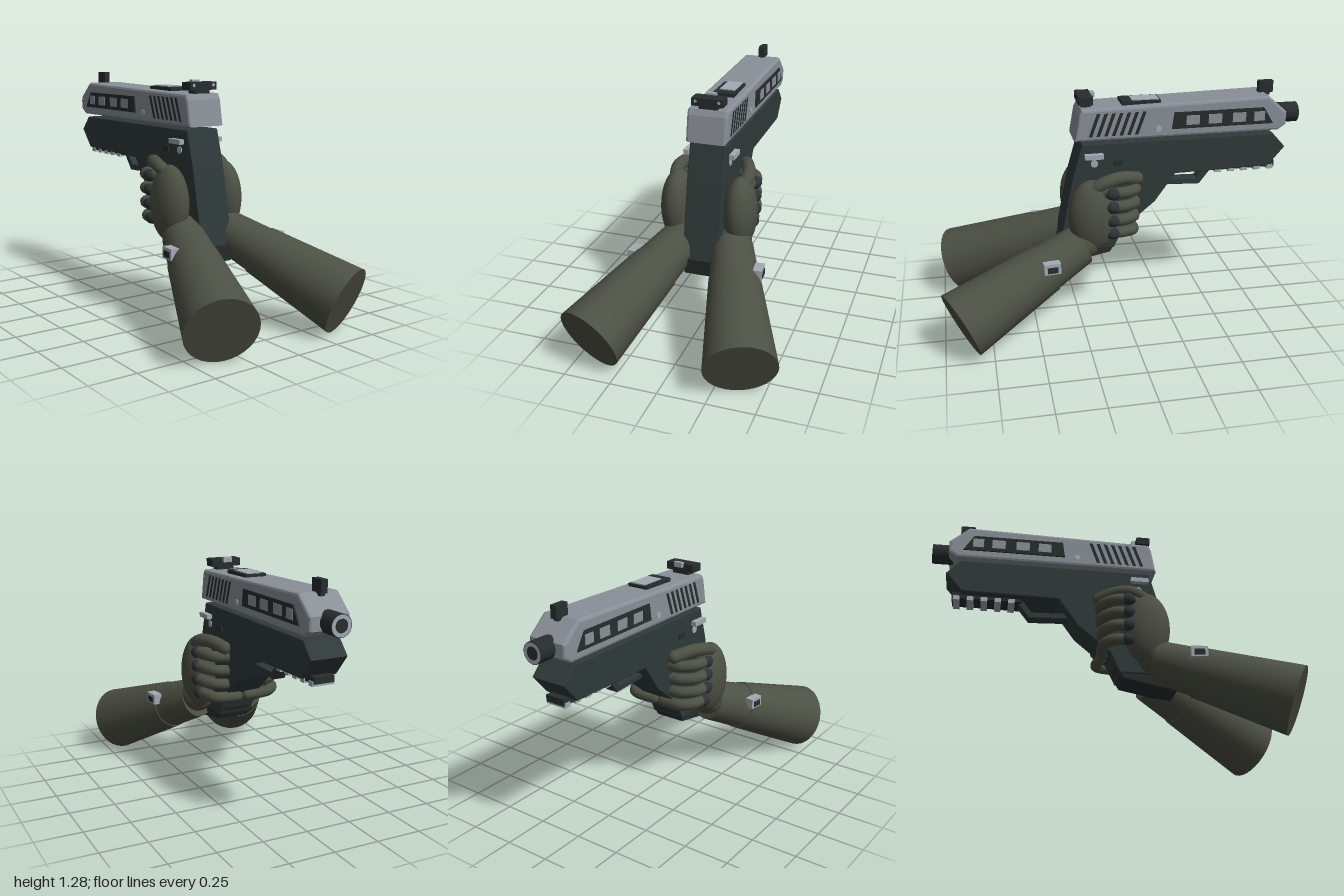
import * as THREE from 'three';

const mat = (name, color, side = THREE.FrontSide) => {
  const m = new THREE.MeshStandardMaterial({ color, side });
  m.name = name;
  return m;
};

export function createModel() {
  const root = new THREE.Group();
  root.name = 'pistolWithGlovedArms';
  const steel = mat('slide grey', 0x8a9098);
  const frameMat = mat('frame dark green grey', 0x2f3939);
  const black = mat('dark fittings', 0x272d2e);
  const light = mat('light metal', 0xa3aab3);
  const sleeve = mat('olive cloth', 0x4d5044);
  const pad = mat('knuckle pad', 0x2d3335);

  const add = (name, geo, material, x = 0, y = 0, z = 0, parent = root) => {
    const m = new THREE.Mesh(geo, material);
    m.name = name;
    m.position.set(x, y, z);
    parent.add(m);
    return m;
  };
  const box = (name, material, w, h, d, x, y, z) =>
    add(name, new THREE.BoxGeometry(w, h, d), material, x, y, z);

  // Side profile given as [z, y], extruded across x and centred on x
  const profile = (name, pts, width, bevel, material, x = 0) => {
    const shape = new THREE.Shape(pts.map(([z, y]) => new THREE.Vector2(-z, y)));
    const geo = new THREE.ExtrudeGeometry(shape, {
      depth: width - 2 * bevel, bevelEnabled: bevel > 0, bevelSize: bevel,
      bevelThickness: bevel, bevelOffset: -bevel, bevelSegments: 2,
    });
    geo.translate(0, 0, -(width - 2 * bevel) / 2);
    geo.rotateY(Math.PI / 2);
    return add(name, geo, material, x);
  };

  // Tapered limb between two points
  const limb = (name, a, b, ra, rb, material) => {
    const dir = b.clone().sub(a);
    const m = add(name, new THREE.CylinderGeometry(rb, ra, dir.length(), 32), material);
    m.position.copy(a).add(b).multiplyScalar(0.5);
    m.quaternion.setFromUnitVectors(new THREE.Vector3(0, 1, 0), dir.normalize());
    return m;
  };

  // Rounded tube through points, with round ends
  const finger = (name, pts, r) => {
    const g = new THREE.Group();
    g.name = name;
    root.add(g);
    const v = pts.map((p) => new THREE.Vector3(...p));
    add('tube', new THREE.TubeGeometry(new THREE.CatmullRomCurve3(v), 20, r, 12), sleeve, 0, 0, 0, g);
    for (const p of [v[0], v[v.length - 1]])
      add('tip', new THREE.SphereGeometry(r, 12, 8), sleeve, p.x, p.y, p.z, g);
  };

  // Slide and frame
  profile('slide', [[0.26, 1.03], [-0.86, 1.03], [-0.905, 1.06], [-0.905, 1.13], [-0.80, 1.222],
    [0.22, 1.2], [0.235, 1.17]], 0.22, 0.014, steel);
  profile('frame', [[0.22, 1.012], [-0.835, 1.012], [-0.91, 0.93], [-0.82, 0.825], [-0.29, 0.815],
    [-0.18, 0.66], [0, 0.51], [0.05, 0.4], [0.36, 0.4], [0.275, 0.82]], 0.2, 0.006, frameMat);
  profile('magazineBase', [[0.03, 0.44], [0.07, 0.37], [0.27, 0.33], [0.365, 0.32], [0.375, 0.41]],
    0.18, 0.008, black);
  profile('triggerGuard', [[-0.19, 0.762], [-0.43, 0.755], [-0.49, 0.83], [-0.53, 0.83],
    [-0.445, 0.72], [-0.2, 0.73]], 0.07, 0.004, frameMat);

  // Accessory rail with cross teeth
  box('rail', black, 0.11, 0.035, 0.38, 0, 0.82, -0.68);
  for (let i = 0; i < 5; i++)
    box('railTooth', light, 0.12, 0.025, 0.036, 0, 0.803, -0.545 - i * 0.075);

  // Barrel with a bright muzzle ring and dark bore
  const barrel = add('barrel', new THREE.CylinderGeometry(0.055, 0.055, 0.14, 28), black, 0, 1.098, -0.927);
  barrel.rotation.x = Math.PI / 2;
  const ring = add('muzzleRing', new THREE.RingGeometry(0.033, 0.052, 28), light, 0, 1.098, -0.9985);
  ring.rotation.y = Math.PI;

  // Sights
  box('frontSight', black, 0.034, 0.065, 0.08, 0, 1.252, -0.81);
  box('frontSightFoot', black, 0.026, 0.03, 0.05, 0, 1.22, -0.81);
  box('rearSight', black, 0.17, 0.042, 0.075, 0, 1.24, 0.193);
  box('rearSightFoot', black, 0.1, 0.03, 0.05, 0, 1.213, 0.19);
  box('rearSightBlock', light, 0.05, 0.028, 0.022, 0, 1.257, 0.148);
  for (const s of [-1, 1]) {
    const dot = add('sightDot', new THREE.CircleGeometry(0.009, 16), light, s * 0.063, 1.245, 0.2315);
    dot.rotation.y = 0;
  }

  // Ejection port on the top
  box('ejectionPort', black, 0.118, 0.02, 0.21, 0.01, 1.215, -0.105);
  box('ejectionPortCover', light, 0.085, 0.009, 0.145, 0.015, 1.226, -0.128);

  for (const s of [-1, 1]) {
    // Side window panel with light inserts
    profile('sidePanel', [[-0.262, 1.075], [-0.825, 1.075], [-0.77, 1.165], [-0.275, 1.165]],
      0.009, 0, black, s * 0.114);
    [[-0.375, 0.072], [-0.498, 0.074], [-0.632, 0.074], [-0.745, 0.06]].forEach(([z, d]) =>
      box('panelInsert', steel, 0.004, 0.052, d, s * 0.1195, 1.12, z));
    // Slanted grip serrations
    for (let i = 0; i < 7; i++) {
      const z = 0.185 - i * 0.041;
      profile('serration', [[z, 1.055], [z - 0.018, 1.055], [z - 0.062, 1.178], [z - 0.044, 1.178]],
        0.004, 0, black, s * 0.1105);
    }
    // Pins and safety lever
    for (const [x, y, z, r] of [[0.11, 1.08, -0.19, 0.017], [0.101, 0.903, 0.155, 0.02]]) {
      const pin = add('pin', new THREE.CylinderGeometry(r, r, 0.008, 20), light, s * x, y, z);
      pin.rotation.z = Math.PI / 2;
    }
    box('safetyLever', light, 0.03, 0.026, 0.1, s * 0.126, 0.951, 0.16);
    box('leverStem', black, 0.03, 0.016, 0.03, s * 0.105, 0.951, 0.14);
    box('frameButton', black, 0.014, 0.032, 0.05, s * 0.101, 0.9, 0.03);

    // Gloved hand
    const o = s < 0 ? 0.018 : 0; // one hand sits slightly further out
    const palm = add('palm', new THREE.SphereGeometry(1, 32, 24), sleeve, s * (0.166 + o), 0.63, 0.18);
    palm.scale.set(0.09, 0.205, 0.13);
    finger('thumb', [[s * (0.17 + o), 0.76, 0.22], [s * (0.19 + o), 0.825, 0.11],
      [s * (0.16 + o), 0.835, 0.02], [s * 0.125, 0.815, -0.07]], 0.036);
    for (let i = 0; i < 4; i++) {
      const y = 0.77 - i * 0.077;
      const f = -0.055 + i * 0.004;
      const k = i === 3 ? -0.012 : 0;
      const pts = [[s * (0.17 + o), y, 0.15], [s * (0.21 + o + k), y, 0.08],
        [s * (0.205 + o + k), y, 0.01], [s * 0.16, y - 0.005, f], [s * 0.1, y - 0.01, f - 0.005]];
      if (i > 1) pts.push([s * 0.03, y - 0.015, f + 0.005]); // lower fingers wrap the front strap
      finger('finger', pts, 0.031);
      const knuckle = add('knucklePad', new THREE.SphereGeometry(1, 16, 12), pad,
        s * (0.222 + o + k), y, 0.075);
      knuckle.scale.set(0.03, 0.033, 0.041);
    }

    // Wrist cuff and sleeve
    const wrist = new THREE.Vector3(s * 0.145, 0.455, 0.25);
    const elbow = new THREE.Vector3(s * 0.397, 0.175, 0.911);
    const seam = wrist.clone().lerp(elbow, 0.3);
    add('wristJoint', new THREE.SphereGeometry(0.098, 24, 16), sleeve, s * 0.15, 0.48, 0.235);
    limb('cuff', wrist, seam, 0.113, 0.131, sleeve);
    limb('forearm', seam, elbow, 0.136, 0.185, sleeve);

    // Cuff buckle and inner tab
    const buckle = new THREE.Group();
    buckle.name = 'cuffBuckle';
    buckle.position.set(s * 0.342, 0.432, 0.425);
    buckle.rotation.y = s * 0.1;
    root.add(buckle);
    add('buckleFrame', new THREE.BoxGeometry(0.048, 0.058, 0.088), light, 0, 0, 0, buckle);
    add('bucklePlate', new THREE.BoxGeometry(0.006, 0.032, 0.055), black, s * 0.025, -0.004, 0, buckle);
    const tab = add('cuffTab', new THREE.SphereGeometry(1, 16, 10), pad, s * 0.088, 0.425, 0.34);
    tab.scale.set(0.02, 0.028, 0.035);
  }

  return root;
}
